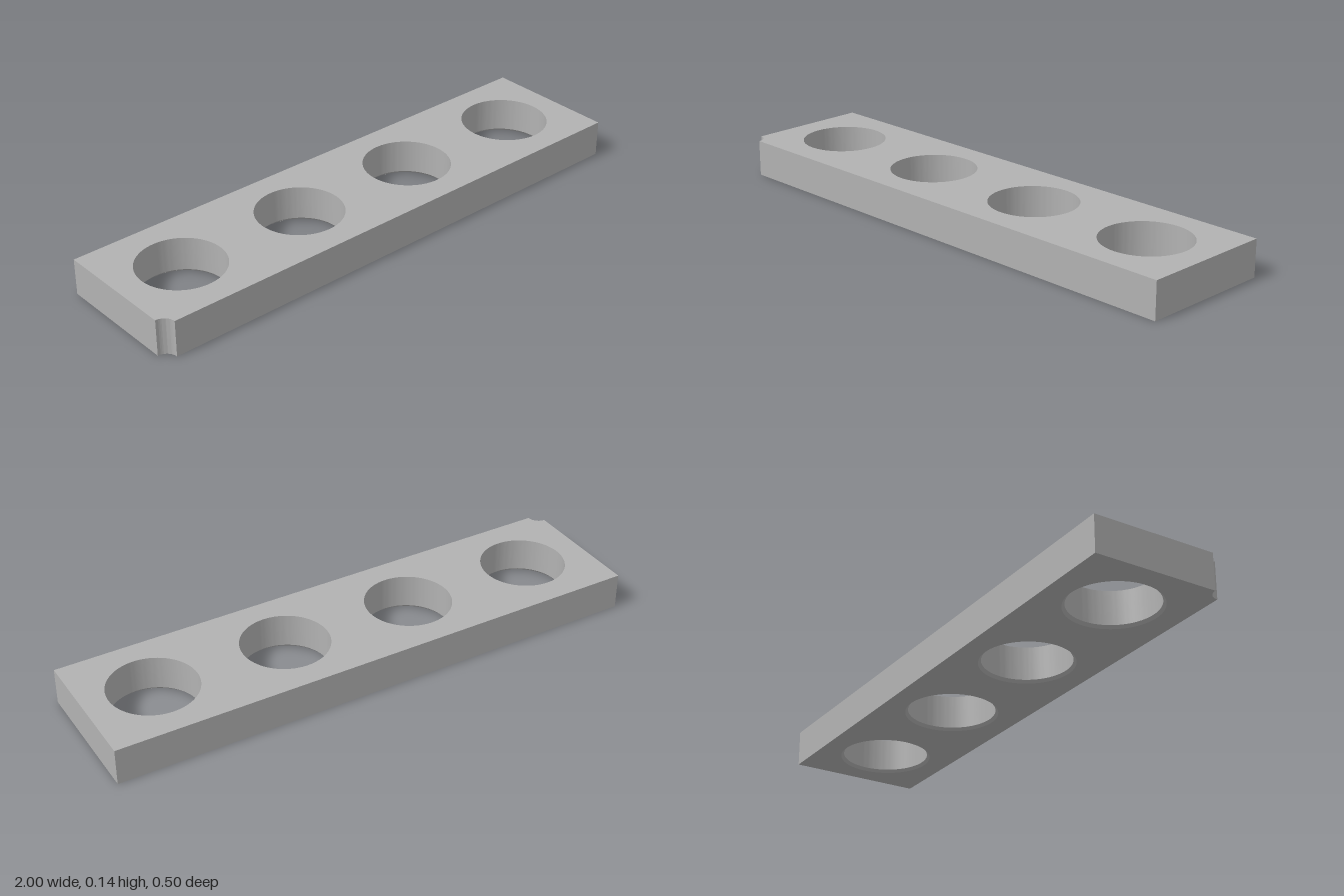
import * as THREE from 'three';
import { toCreasedNormals } from 'three/addons/utils/BufferGeometryUtils.js';

const HEIGHT = 0.135, CHAMFER = 0.01, NOTCH = 0.043;
// bores grow slightly from one end to the other
const BORES = [[-0.75, 0.156], [-0.25, 0.1575], [0.25, 0.159], [0.75, 0.16]];

export function createModel() {
  const grey = new THREE.MeshStandardMaterial({ color: 0xb2b2b2 });
  grey.name = 'grey';

  // bar outline with a small scooped corner at the front right
  const outline = new THREE.Shape();
  outline.moveTo(-1 + NOTCH, -0.25);
  outline.lineTo(1, -0.25);
  outline.lineTo(1, 0.25);
  outline.lineTo(-1, 0.25);
  outline.lineTo(-1, -0.25 + NOTCH);
  outline.absarc(-1, -0.25, NOTCH, Math.PI / 2, 0, true);

  // round through bores
  for (const [x, r] of BORES) {
    const hole = new THREE.Path();
    hole.absarc(x, 0, r, 0, Math.PI * 2, true);
    outline.holes.push(hole);
  }

  let geometry = new THREE.ExtrudeGeometry(outline, {
    depth: HEIGHT, steps: 2, bevelEnabled: false, curveSegments: 64,
  });

  // lower the middle ring and flare the bores below it into a chamfer
  const p = geometry.attributes.position;
  for (let i = 0; i < p.count; i++) {
    const x = p.getX(i), y = p.getY(i), z = p.getZ(i);
    if (z > 0.01 && z < HEIGHT - 0.01) p.setZ(i, CHAMFER);
    if (z > 0.01) continue;
    for (const [cx, r] of BORES) {
      if (Math.hypot(x - cx, y) > r + 0.001) continue;
      const k = (r + CHAMFER) / r;
      p.setXY(i, cx + (x - cx) * k, y * k);
    }
  }
  geometry = toCreasedNormals(geometry, 0.5);
  geometry.rotateX(-Math.PI / 2);

  const plate = new THREE.Mesh(geometry, [grey, grey]);
  plate.name = 'boredPlate';
  const model = new THREE.Group();
  model.name = 'holeGauge';
  model.add(plate);
  return model;
}
